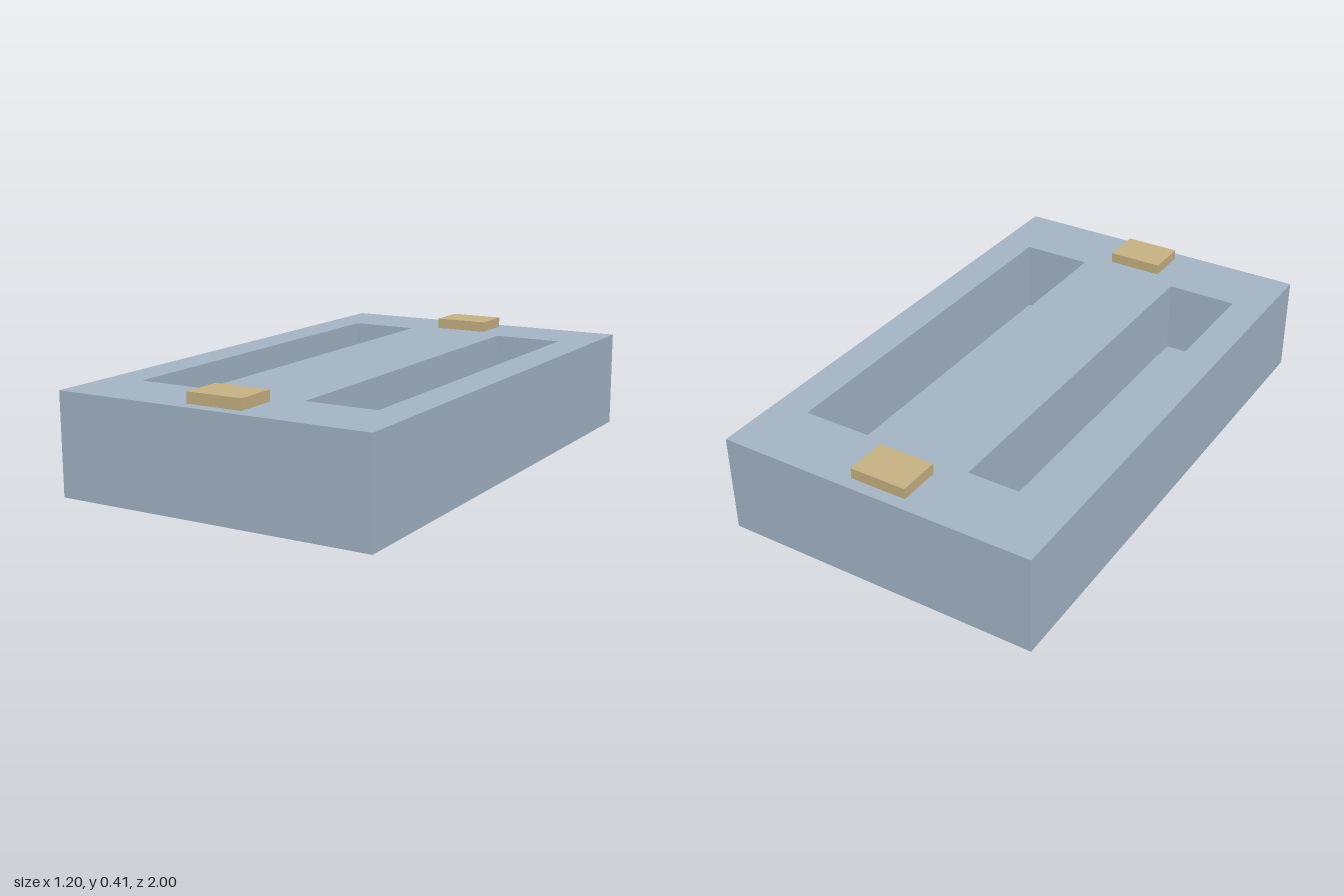
import * as THREE from 'three';

const blue = new THREE.MeshStandardMaterial({ color: 0xa4b5c6 });
blue.name = 'greyBlue';
const tan = new THREE.MeshStandardMaterial({ color: 0xc7b283 });
tan.name = 'tan';

const WIDTH = 1.2, LENGTH = 2, TOP = 0.37, FLOOR = 0.09;

// Traces a rectangle centred on (x, y)
function rectangle(path, x, y, w, h) {
  path.moveTo(x - w / 2, y - h / 2);
  path.lineTo(x + w / 2, y - h / 2);
  path.lineTo(x + w / 2, y + h / 2);
  path.lineTo(x - w / 2, y + h / 2);
  path.closePath();
  return path;
}

function addMesh(group, name, geometry, material, x, y, z) {
  const mesh = new THREE.Mesh(geometry, material);
  mesh.name = name;
  mesh.position.set(x, y, z);
  group.add(mesh);
}

export function createModel() {
  const group = new THREE.Group();
  group.name = 'slottedBlock';

  // Closed floor beneath the slots
  addMesh(group, 'baseFloor', new THREE.BoxGeometry(WIDTH, FLOOR, LENGTH), blue, 0, FLOOR / 2, 0);

  // Block body with two long slots
  const outline = rectangle(new THREE.Shape(), 0, 0, WIDTH, LENGTH);
  for (const side of [-1, 1]) {
    outline.holes.push(rectangle(new THREE.Path(), side * 0.333, 0, 0.27, 1.466));
  }
  const body = new THREE.ExtrudeGeometry(outline, { depth: TOP - FLOOR, bevelEnabled: false });
  body.rotateX(-Math.PI / 2);
  addMesh(group, 'slottedBody', body, blue, 0, FLOOR, 0);

  // Raised pads at both ends
  for (const [name, side] of [['frontPad', 1], ['backPad', -1]]) {
    addMesh(group, name, new THREE.BoxGeometry(0.212, 0.04, 0.158), tan, 0, TOP + 0.02, side * 0.875);
  }
  return group;
}
